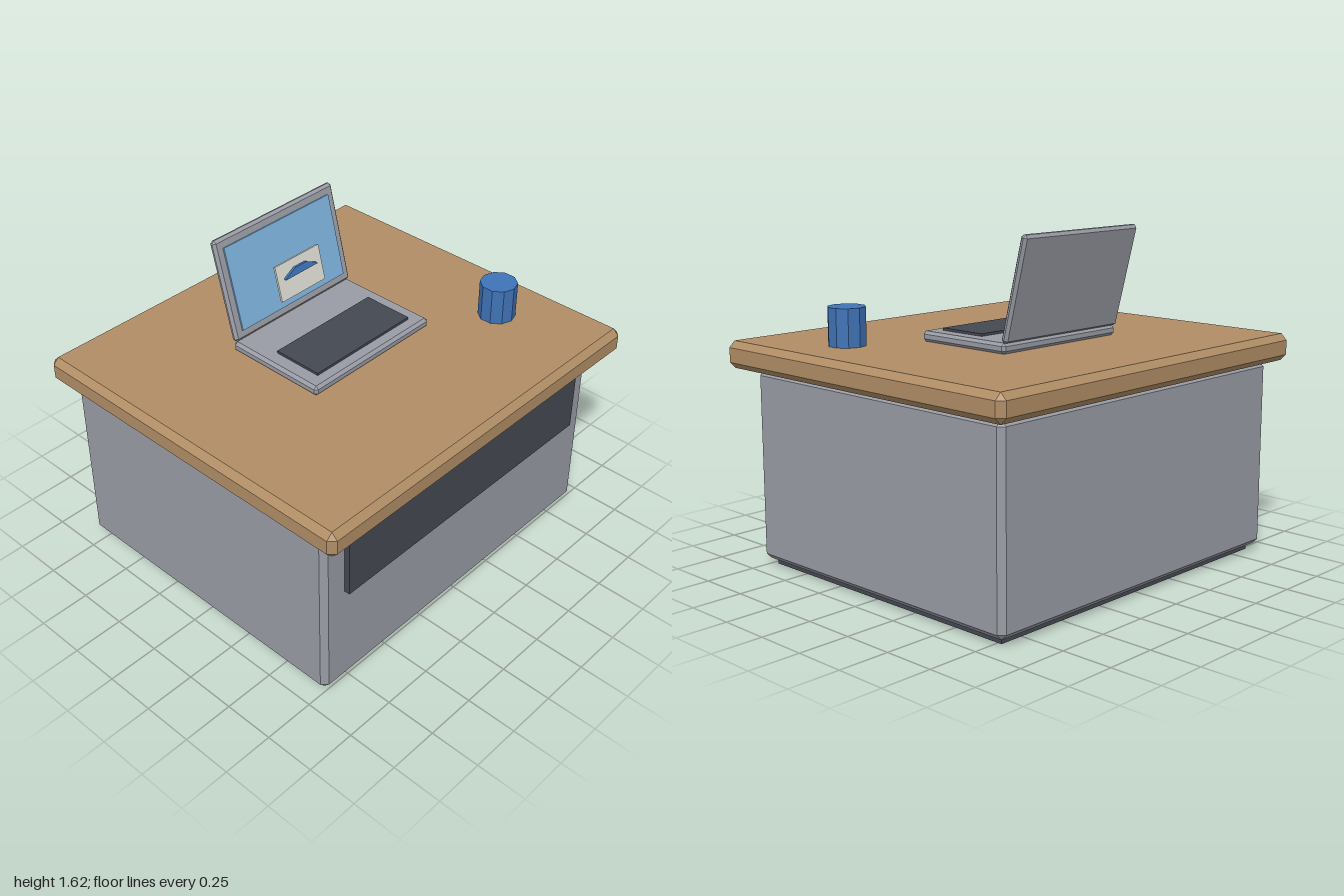
import * as THREE from 'three';
import { ConvexGeometry } from 'three/addons/geometries/ConvexGeometry.js';

const mat = (name, color) => {
  const m = new THREE.MeshStandardMaterial({ color });
  m.name = name;
  return m;
};

// Box with every edge cut by one flat bevel of size c
function bevelBox(w, h, d, c) {
  const points = [];
  for (const x of [-w / 2, w / 2]) for (const y of [-h / 2, h / 2]) for (const z of [-d / 2, d / 2]) {
    const sx = Math.sign(x) * c, sy = Math.sign(y) * c, sz = Math.sign(z) * c;
    points.push(
      new THREE.Vector3(x, y - sy, z - sz),
      new THREE.Vector3(x - sx, y, z - sz),
      new THREE.Vector3(x - sx, y - sy, z));
  }
  return new ConvexGeometry(points);
}

export function createModel() {
  const wood = mat('wood', 0xb08d65);
  const metal = mat('grey metal', 0x999ca5);
  const dark = mat('dark slate', 0x444852);
  const screenBlue = mat('screen blue', 0x7db1dc);
  const blue = mat('blue', 0x3f73b7);
  const cream = mat('cream', 0xdcdcd3);

  const model = new THREE.Group();
  model.name = 'deskWithLaptop';
  const add = (name, geometry, material, x, y, z, parent = model) => {
    const mesh = new THREE.Mesh(geometry, material);
    mesh.name = name;
    mesh.position.set(x, y, z);
    parent.add(mesh);
    return mesh;
  };
  const box = (w, h, d) => new THREE.BoxGeometry(w, h, d);

  // Desk
  add('plinth', box(1.74, 0.06, 1.49), dark, 0, 0.03, -0.025);
  add('cabinet', bevelBox(1.84, 0.92, 1.59, 0.027), metal, 0, 0.49, -0.025);
  add('drawerFront', box(1.59, 0.285, 0.04), dark, 0, 0.708, 0.78);
  add('deskTop', bevelBox(2, 0.13, 1.79, 0.03), wood, 0, 1.015, 0);

  // Laptop base
  const laptop = new THREE.Group();
  laptop.name = 'laptop';
  model.add(laptop);
  add('laptopBase', bevelBox(0.765, 0.05, 0.53, 0.014), metal, 0, 1.105, -0.05, laptop);
  add('keyboard', box(0.615, 0.02, 0.255), dark, 0, 1.132, 0.025, laptop);

  // Lid, leaning back
  const lid = new THREE.Group();
  lid.name = 'laptopLid';
  lid.position.set(0, 1.372, -0.367);
  lid.rotation.x = -0.25;
  laptop.add(lid);
  add('lidShell', bevelBox(0.765, 0.5, 0.036, 0.013), metal, 0, 0, 0, lid);
  add('screen', box(0.675, 0.41, 0.009), screenBlue, 0, 0, 0.0215, lid);

  // Card floating in front of the screen
  const card = new THREE.Group();
  card.name = 'floatingCard';
  card.position.set(0, 1.352, -0.256);
  card.rotation.x = -0.25;
  laptop.add(card);
  add('cardPlate', box(0.284, 0.176, 0.011), cream, 0, 0, 0, card);
  const arch = new THREE.Shape([
    [-0.103, 0], [0.103, 0], [0.098, 0.008], [0.035, 0.036], [-0.035, 0.036], [-0.098, 0.008],
  ].map(([x, y]) => new THREE.Vector2(x, y)));
  add('cardArch', new THREE.ExtrudeGeometry(arch, { depth: 0.016, bevelEnabled: false }),
    blue, 0, 0.01, 0.004, card);

  // Ten-sided cup
  const cup = new THREE.CylinderGeometry(0.09, 0.09, 0.18, 10).toNonIndexed();
  cup.computeVertexNormals();
  add('cup', cup, blue, 0.69, 1.17, 0.383);

  return model;
}
